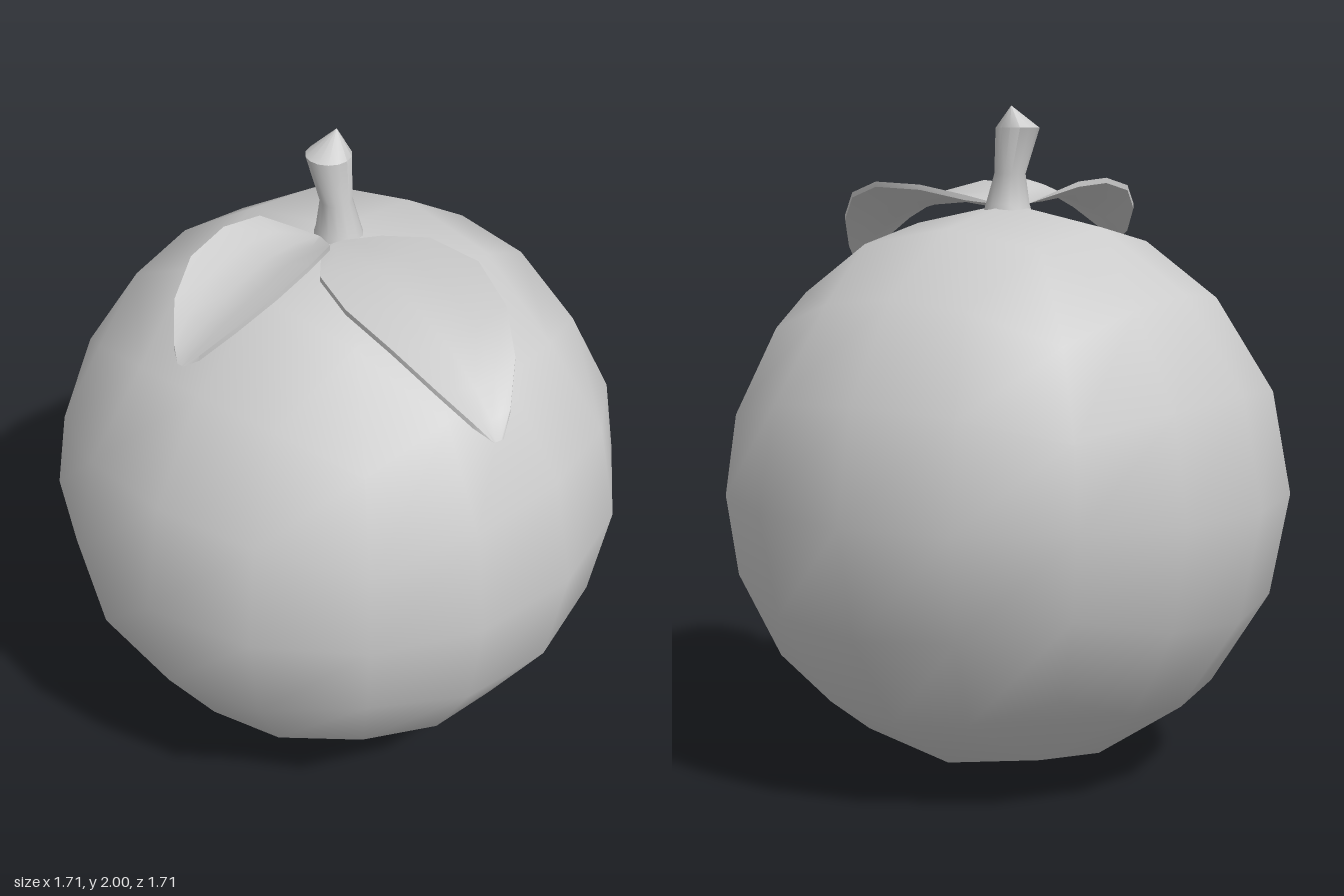
import * as THREE from 'three';
import { toCreasedNormals } from 'three/addons/utils/BufferGeometryUtils.js';

const material = new THREE.MeshStandardMaterial({ color: 0xcccccc });

function addMesh(group, name, geometry) {
  const mesh = new THREE.Mesh(geometry, material);
  mesh.name = name;
  group.add(mesh);
  return mesh;
}

// Ball made from a 4x4 cube grid, spaced at equal angles, shaded smooth
function fruitGeometry(radius) {
  const geo = new THREE.BoxGeometry(2, 2, 2, 4, 4, 4);
  const pos = geo.attributes.position, nor = geo.attributes.normal;
  const v = new THREE.Vector3();
  const warp = (u) => Math.tan(u * Math.PI / 4);
  for (let i = 0; i < pos.count; i++) {
    v.fromBufferAttribute(pos, i);
    v.set(warp(v.x), warp(v.y), warp(v.z)).normalize();
    nor.setXYZ(i, v.x, v.y, v.z);
    pos.setXYZ(i, v.x * radius, v.y * radius, v.z * radius);
  }
  return geo;
}

// Flared stalk with a pointed cap, leaning back and tipped sideways
function stemGeometry() {
  const profile = [[0.075, 1.68], [0.066, 1.71], [0.047, 1.8], [0.066, 1.935], [0, 2]];
  const geo = new THREE.LatheGeometry(profile.map(([r, y]) => new THREE.Vector2(r, y)), 14);
  const pos = geo.attributes.position;
  for (let i = 0; i < pos.count; i++) {
    const y = pos.getY(i);
    const lean = THREE.MathUtils.clamp((y - 1.76) / 0.175, 0, 1);
    pos.setZ(i, pos.getZ(i) - 0.035 * lean);
    if (y > 1.95) pos.setX(i, 0.035);
  }
  return toCreasedNormals(geo, 0.7);
}

// Cupped leaf running along +z; stations are [distance, half width, rim height, cup depth]
function leafGeometry(stations) {
  const across = [1, 0.5, 0, -0.5, -1];
  const n = across.length * 2;
  const points = [], index = [];
  stations.forEach(([s, half, rim, cup], i) => {
    const thick = i === 0 || i === stations.length - 1 ? 0 : 0.016;
    const height = (u) => rim - cup * (1 - Math.abs(u) ** 1.5);
    across.forEach((u) => points.push(u * half, height(u), s));
    [...across].reverse().forEach((u) => points.push(u * half, height(u) - thick, s));
    if (i === 0) return;
    for (let j = 0; j < n; j++) {
      const k = (j + 1) % n, a = (i - 1) * n, b = i * n;
      index.push(a + j, a + k, b + k, a + j, b + k, b + j);
    }
  });
  const geo = new THREE.BufferGeometry();
  geo.setAttribute('position', new THREE.Float32BufferAttribute(points, 3));
  geo.setIndex(index);
  return toCreasedNormals(geo, 0.9);
}

export function createModel() {
  const group = new THREE.Group();
  group.name = 'fruit';

  addMesh(group, 'fruitBody', fruitGeometry(0.855)).position.y = 0.857;
  addMesh(group, 'stem', stemGeometry());

  // Smaller leaf reaching to the right
  const sideLeaf = addMesh(group, 'sideLeaf', leafGeometry([
    [0, 0.012, 1.71, 0], [0.1, 0.125, 1.775, 0.045], [0.22, 0.155, 1.785, 0.045],
    [0.36, 0.153, 1.76, 0.045], [0.48, 0.11, 1.7, 0.03], [0.56, 0.045, 1.625, 0.01],
    [0.587, 0.01, 1.59, 0],
  ]));
  sideLeaf.position.set(-0.07, 0, -0.02);
  sideLeaf.rotation.y = Math.atan2(-0.585, 0.01);

  // Larger leaf drooping over the front
  const frontLeaf = addMesh(group, 'frontLeaf', leafGeometry([
    [0, 0.02, 1.705, 0], [0.08, 0.1, 1.735, 0.02], [0.2, 0.18, 1.765, 0.04],
    [0.38, 0.215, 1.772, 0.06], [0.55, 0.185, 1.735, 0.06], [0.67, 0.13, 1.66, 0.045],
    [0.75, 0.06, 1.57, 0.015], [0.785, 0.015, 1.51, 0],
  ]));
  frontLeaf.position.set(-0.06, 0, 0.04);
  frontLeaf.rotation.y = Math.atan2(-0.24, 0.74);

  return group;
}
